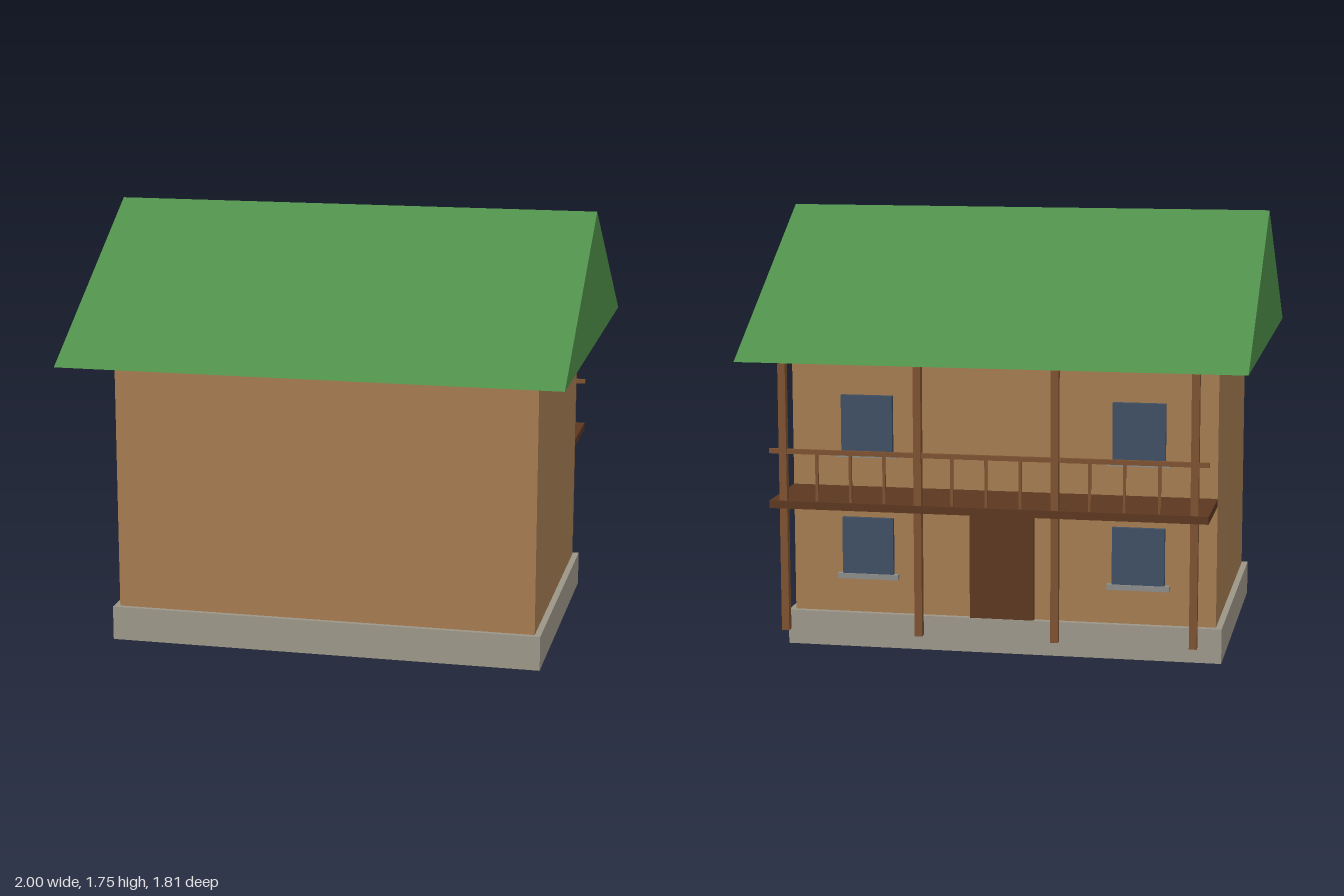
import * as THREE from 'three';

const mat = (name, color) => {
  const m = new THREE.MeshStandardMaterial({ color });
  m.name = name;
  return m;
};

export function createModel() {
  const house = new THREE.Group();
  house.name = 'house';

  const wall = mat('tan wall', 0xa67c52);
  const roofGreen = mat('roof green', 0x4f8f4a);
  const stone = mat('foundation stone', 0x9e988a);
  const darkWood = mat('dark wood', 0x5c3820);
  const postWood = mat('post wood', 0x7d5231);
  const glass = mat('window glass', 0x3f4f63);
  const sillGrey = mat('sill grey', 0x8c8c8a);

  // Box given by its extents along each axis
  const box = (name, material, [x0, x1], [y0, y1], [z0, z1], parent = house) => {
    const mesh = new THREE.Mesh(new THREE.BoxGeometry(x1 - x0, y1 - y0, z1 - z0), material);
    mesh.position.set((x0 + x1) / 2, (y0 + y1) / 2, (z0 + z1) / 2);
    mesh.name = name;
    parent.add(mesh);
    return mesh;
  };
  const around = (c, width) => [c - width / 2, c + width / 2];

  // Main body
  box('foundation', stone, [-0.885, 0.885], [0, 0.14], [-0.585, 0.61]);
  box('walls', wall, [-0.86, 0.86], [0.14, 1.2], [-0.56, 0.59]);

  // Gable roof: triangle in the z-y plane swept along x
  const gable = new THREE.Shape([
    new THREE.Vector2(-0.905, 1.2),
    new THREE.Vector2(0.887, 1.2),
    new THREE.Vector2(-0.01, 1.75),
  ]);
  const roofGeometry = new THREE.ExtrudeGeometry(gable, { depth: 2, bevelEnabled: false });
  roofGeometry.translate(0, 0, -1).rotateY(Math.PI / 2);
  const roof = new THREE.Mesh(roofGeometry, roofGreen);
  roof.name = 'roof';
  house.add(roof);

  // Door and windows on the back wall
  box('door', darkWood, around(0, 0.26), [0.14, 0.62], [-0.582, -0.56]);
  for (const x of [-0.55, 0.55]) {
    for (const y of [0.3, 0.8]) {
      const group = new THREE.Group();
      group.name = 'window';
      house.add(group);
      box('windowPane', glass, around(x, 0.21), [y, y + 0.233], [-0.581, -0.56], group);
      box('windowSill', sillGrey, around(x, 0.25), [y - 0.018, y + 0.003], [-0.588, -0.56], group);
    }
  }

  // Balcony with posts, rail and balusters
  const balcony = new THREE.Group();
  balcony.name = 'balcony';
  house.add(balcony);
  box('deck', darkWood, [-0.86, 0.86], [0.63, 0.66], [-0.905, -0.56], balcony);
  box('handRail', postWood, [-0.86, 0.86], around(0.855, 0.018), around(-0.887, 0.016), balcony);
  for (let i = 0; i <= 12; i++) {
    const x = -0.805 + (i * 1.61) / 12;
    if (i % 4 === 0) box('post', postWood, around(x, 0.03), [0.14, 1.2], around(-0.885, 0.03), balcony);
    else box('baluster', postWood, around(x, 0.011), [0.66, 0.85], around(-0.887, 0.011), balcony);
  }

  return house;
}
